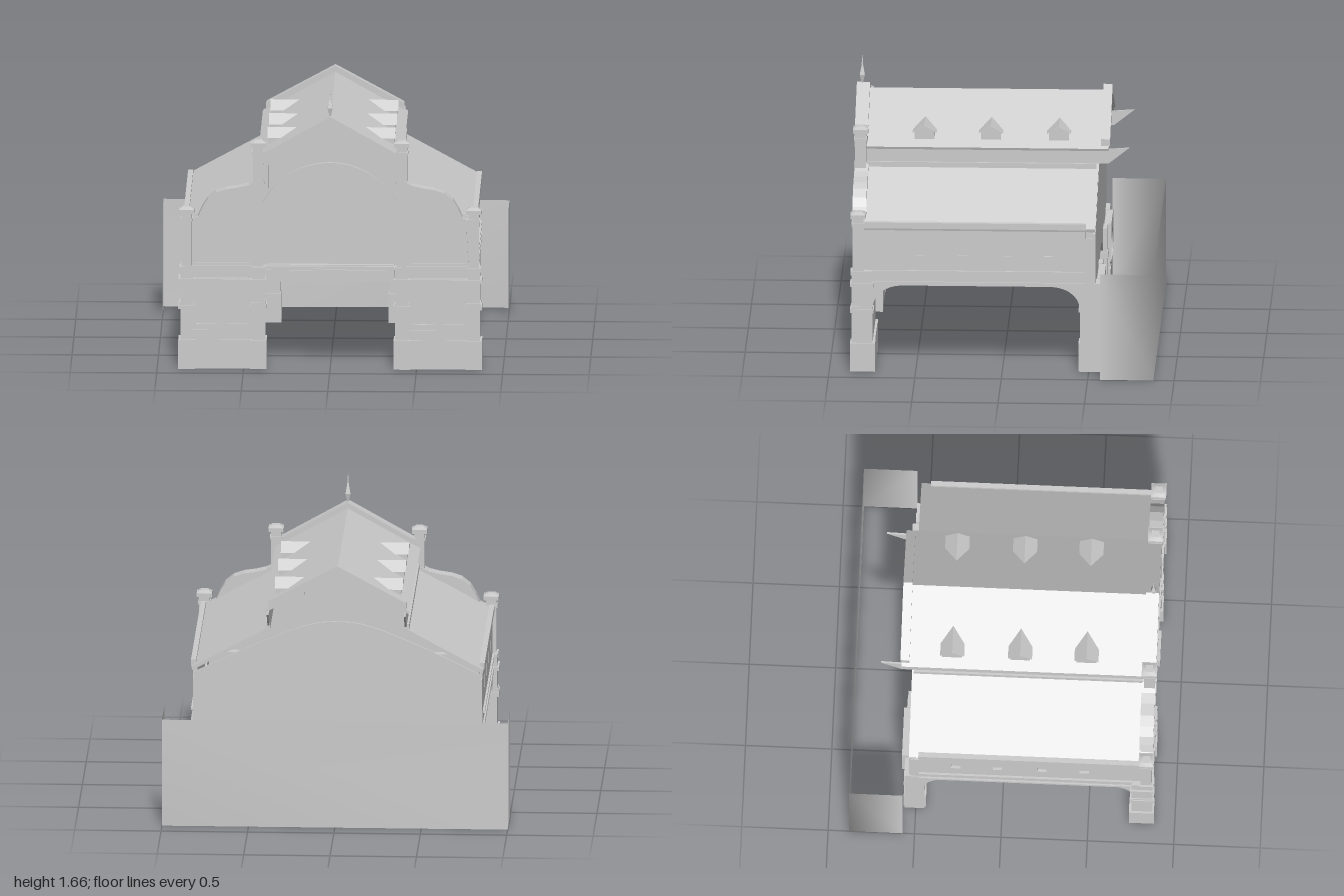
import * as THREE from 'three';

export function createModel() {
  const root = new THREE.Group();
  const mat = new THREE.MeshStandardMaterial({ color: 0xcccccc, side: THREE.DoubleSide });

  const add = (name, geo, x = 0, y = 0, z = 0) => {
    const m = new THREE.Mesh(geo, mat);
    m.name = name;
    m.position.set(x, y, z);
    root.add(m);
    return m;
  };
  // box given by its limits
  const box = (name, x0, x1, y0, y1, z0, z1) =>
    add(name, new THREE.BoxGeometry(Math.abs(x1 - x0), y1 - y0, z1 - z0), (x0 + x1) / 2, (y0 + y1) / 2, (z0 + z1) / 2);
  const poly = (pts) => new THREE.Shape(pts.map(([x, y]) => new THREE.Vector2(x, y)));
  const extrude = (shape, depth) => new THREE.ExtrudeGeometry(shape, { depth, bevelEnabled: false, curveSegments: 16 });
  // upright plate facing z, between z0 and z1
  const plate = (name, shape, z0, z1) => add(name, extrude(shape, z1 - z0), 0, 0, z0);
  // upright plate drawn in (z, y), between x0 < x1
  const sidePlate = (name, shape, x0, x1) => {
    const m = add(name, extrude(shape, x1 - x0), x1, 0, 0);
    m.rotation.y = -Math.PI / 2;
    return m;
  };
  // round-headed outline
  const arched = (Type, cx, r, y0, spring) => {
    const p = new Type();
    p.moveTo(cx - r, y0);
    p.lineTo(cx + r, y0);
    p.lineTo(cx + r, spring);
    p.absarc(cx, spring, r, 0, Math.PI, false);
    p.lineTo(cx - r, y0);
    return p;
  };
  const mirror = (pts, s) => pts.map(([x, y]) => [x * s, y]);

  // ---------- front facade ----------
  const wing = [[0.8, 0.875], [0.765, 0.895], [0.74, 0.95], [0.71, 1.0], [0.66, 1.04], [0.6, 1.06], [0.53, 1.07], [0.47, 1.085], [0.39, 1.13]];
  const half = [[0.84, 0.58], [0.84, 0.87], ...wing, [0.38, 1.25]];
  const front = poly([...half, [0, 1.47], ...mirror(half, -1).reverse()]);
  front.holes.push(arched(THREE.Path, 0, 0.4, 0.605, 0.765));
  plate('facadeWall', front, 0.8, 0.835);
  plate('archInfill', arched(THREE.Shape, 0, 0.41, 0.6, 0.765), 0.8, 0.812);
  for (const [r0, r1, z] of [[0.4, 0.44, 0.85], [0.418, 0.44, 0.857]]) {
    const ring = arched(THREE.Shape, 0, r1, 0.605, 0.775);
    ring.holes.push(arched(THREE.Path, 0, r0, 0.605, 0.765));
    plate('archMoulding', ring, 0.83, z);
  }
  box('lintel', -0.37, 0.37, 0.51, 0.61, 0.79, 0.845);
  box('lintelCourse', -0.84, 0.84, 0.59, 0.605, 0.8, 0.868);
  box('centrePanel', -0.095, 0.095, 0.51, 0.592, 0.84, 0.882);

  for (const s of [1, -1]) {
    box('lintelMoulding', s * 0.09, s * 0.37, 0.53, 0.58, 0.84, 0.857);
    // sloped coping and inner moulding of the gable
    plate('gableCoping', poly(mirror([[0, 1.49], [0.39, 1.27], [0.39, 1.21], [0, 1.43]], s)), 0.795, 0.872);
    plate('gableMoulding', poly(mirror([[0, 1.43], [0.37, 1.22], [0.37, 1.05], [0.355, 1.06], [0.355, 1.2], [0, 1.4]], s)), 0.83, 0.855);
    // curved coping and raised border of the wing
    const low = wing.map(([x, y]) => [x - 0.012, y - 0.04]);
    plate('wingCoping', poly(mirror([...wing, ...[...low].reverse()], s)), 0.79, 0.87);
    const border = poly(mirror([[0.8, 0.605], ...low, [0.45, 0.605]], s));
    border.holes.push(new THREE.Path(mirror([[0.785, 0.622], [0.785, 0.812], [0.73, 0.815], [0.70, 0.88], [0.65, 0.945],
      [0.58, 0.99], [0.465, 1.01], [0.465, 0.622]], s).map(([x, y]) => new THREE.Vector2(x, y))));
    plate('wingBorder', border, 0.83, 0.85);

    // lower block with twin round-headed blind windows
    box('lowerBlock', s * 0.375, s * 0.855, 0, 0.6, 0.75, 0.835);
    box('plinth', s * 0.45, s * 0.81, 0, 0.17, 0.737, 0.868);
    box('sill', s * 0.46, s * 0.8, 0.17, 0.225, 0.83, 0.857);
    const panel = poly(mirror([[0.45, 0.17], [0.81, 0.17], [0.81, 0.53], [0.45, 0.53]], s));
    for (const x of [0.54, 0.715]) panel.holes.push(arched(THREE.Path, s * x, 0.06, 0.26, 0.412));
    plate('windowPanel', panel, 0.83, 0.85);
    box('lowerCourse', s * 0.37, s * 0.86, 0.51, 0.527, 0.745, 0.866);

    // facade piers with bands and caps
    for (const [x, top] of [[0.83, 0.95], [0.415, 1.345]]) {
      const slab = (name, w, y0, y1, z0, z1) => box(name, s * x - w, s * x + w, y0, y1, z0, z1);
      slab('pierBase', 0.048, 0, 0.17, 0.735, 0.88);
      slab('pierShaft', 0.036, 0.17, 0.6, 0.75, 0.87);
      slab('pierBand', 0.048, 0.352, 0.375, 0.742, 0.88);
      slab('pierBand', 0.042, 0.375, 0.39, 0.748, 0.875);
      slab('pierBand', 0.048, 0.508, 0.53, 0.742, 0.88);
      slab('pierBand', 0.042, 0.575, 0.6, 0.79, 0.878);
      slab('upperPier', 0.03, 0.6, top - 0.01, 0.803, 0.866);
      slab('pierNeck', 0.036, top - 0.08, top - 0.065, 0.797, 0.872);
      slab('pierCap', 0.044, top - 0.035, top - 0.012, 0.79, 0.878);
      const cap = new THREE.CylinderGeometry(0.03, 0.058, 0.014, 4).rotateY(Math.PI / 4);
      add('pierCapTop', cap, s * x, top - 0.005, 0.834);
    }
  }

  // four-sided finial
  const spire = [[0.004, 1.48], [0.01, 1.5], [0.021, 1.535], [0.007, 1.59], [0.0005, 1.66]].map(([x, y]) => new THREE.Vector2(x, y));
  add('finial', new THREE.LatheGeometry(spire, 4, Math.PI / 4).toNonIndexed(), 0, 0, 0.84).geometry.computeVertexNormals();

  // ---------- sides and roofs ----------
  for (const s of [1, -1]) {
    const sp = (name, shape, a, b) => sidePlate(name, shape, Math.min(s * a, s * b), Math.max(s * a, s * b));
    // arcade with a wide flat opening
    const arcade = new THREE.Shape();
    arcade.moveTo(0.8, 0);
    arcade.lineTo(0.8, 0.6);
    arcade.lineTo(-0.48, 0.6);
    arcade.lineTo(-0.48, 0.53);
    arcade.lineTo(-0.565, 0.53);
    arcade.lineTo(-0.565, 0);
    arcade.lineTo(-0.45, 0);
    arcade.lineTo(-0.45, 0.38);
    arcade.bezierCurveTo(-0.44, 0.46, -0.37, 0.51, -0.27, 0.51);
    arcade.lineTo(0.57, 0.51);
    arcade.bezierCurveTo(0.67, 0.51, 0.74, 0.46, 0.75, 0.38);
    arcade.lineTo(0.75, 0);
    sp('sideArcade', arcade, 0.8, 0.84);

    // side wall with small round-headed recesses
    const wall = poly([[0.8, 0.59], [0.8, 0.86], [-0.48, 0.86], [-0.48, 0.59]]);
    for (const z of [0.475, 0.23, -0.027, -0.268]) wall.holes.push(arched(THREE.Path, z, 0.027, 0.69, 0.748));
    sp('sideWall', wall, 0.82, 0.838);
    box('sideWallLining', s * 0.81, s * 0.822, 0.55, 0.855, -0.53, 0.8);
    box('sideWallEnd', s * 0.81, s * 0.836, 0.53, 0.8, -0.53, -0.47);
    box('sideCourse', s * 0.8, s * 0.85, 0.515, 0.535, -0.48, 0.8);
    box('sideCourse', s * 0.8, s * 0.85, 0.587, 0.602, -0.48, 0.8);
    box('gutter', s * 0.82, s * 0.85, 0.855, 0.89, -0.485, 0.8);

    plate('aisleRoof', poly(mirror([[0.395, 1.105], [0.845, 0.86], [0.84, 0.842], [0.395, 1.085]], s)), -0.54, 0.8);
    // upper wall, with its pointed overhang at the back
    sp('upperWall', poly([[0.8, 1.08], [-0.53, 1.08], [-0.53, 1.13], [-0.6, 1.13], [-0.72, 1.225], [-0.55, 1.212], [0.8, 1.22]]), 0.392, 0.402);
    box('upperWallCourse', s * 0.395, s * 0.415, 1.1, 1.13, -0.53, 0.8);
    plate('mainRoof', poly(mirror([[0, 1.457], [0.42, 1.222], [0.415, 1.208], [0, 1.44]], s)), -0.6, 0.8);
    plate('backGableBoard', poly(mirror([[0, 1.493], [0.4, 1.275], [0.4, 1.235], [0, 1.44]], s)), -0.608, -0.555);

    // dormers
    for (const z of [0.467, 0.083, -0.31]) {
      const dormer = new THREE.Group();
      dormer.name = 'dormer';
      dormer.position.z = z;
      const body = new THREE.Mesh(extrude(poly([[-0.058, 1.24], [0.058, 1.24], [0.058, 1.3], [0, 1.335], [-0.058, 1.3]]), 0.16), mat);
      body.rotation.y = -Math.PI / 2;
      body.position.x = s > 0 ? 0.362 : -0.202;
      dormer.add(body);
      for (const t of [1, -1]) {
        const g = new THREE.BufferGeometry().setAttribute('position', new THREE.Float32BufferAttribute([
          s * 0.37, 1.345, 0, s * 0.195, 1.345, 0, s * 0.29, 1.293, t * 0.07, s * 0.37, 1.293, t * 0.07], 3));
        g.setIndex(s * t > 0 ? [0, 1, 2, 0, 2, 3] : [0, 2, 1, 0, 3, 2]);
        g.computeVertexNormals();
        dormer.add(new THREE.Mesh(g, mat));
      }
      root.add(dormer);
    }

    // back piers and low side arches
    for (const x of [0.365, 0.775]) {
      box('backPierBase', s * x - 0.055, s * x + 0.055, 0, 0.17, -0.57, -0.44);
      box('backPier', s * x - 0.05, s * x + 0.05, 0.17, 0.53, -0.565, -0.45);
      box('backPierBand', s * x - 0.056, s * x + 0.056, 0.355, 0.385, -0.57, -0.442);
    }
    const low = poly(mirror([[0.42, 0.3], [0.42, 0.53], [0.715, 0.53], [0.715, 0.3]], s));
    low.holes.push(arched(THREE.Path, s * 0.5675, 0.14, 0.301, 0.325));
    plate('backSideArch', low, -0.585, -0.545);
  }

  // ---------- back wall with a curved top and a wide arch ----------
  const back = new THREE.Shape();
  back.moveTo(-0.83, 0.5);
  back.lineTo(-0.83, 0.83);
  back.splineThru([[-0.52, 0.98], [-0.2, 1.11], [0, 1.14], [0.2, 1.11], [0.52, 0.98], [0.83, 0.83]].map(([x, y]) => new THREE.Vector2(x, y)));
  back.lineTo(0.83, 0.5);
  back.lineTo(0.42, 0.5);
  back.lineTo(0.42, 0.38);
  back.lineTo(0.31, 0.4);
  back.bezierCurveTo(0.2, 0.49, 0.1, 0.52, 0, 0.52);
  back.bezierCurveTo(-0.1, 0.52, -0.2, 0.49, -0.31, 0.4);
  back.lineTo(-0.42, 0.38);
  back.lineTo(-0.42, 0.5);
  plate('backWall', back, -0.54, -0.525);

  // thin open screen standing behind, shaded smoothly round its corners
  const line = [[1, -0.57], [1, -0.88], [-1, -0.88], [-1, -0.57]];
  const screen = new THREE.BufferGeometry().setAttribute('position',
    new THREE.Float32BufferAttribute(line.flatMap(([x, z]) => [x, 0, z, x, 0.635, z]), 3));
  screen.setIndex([0, 1, 2].flatMap((i) => [2 * i, 2 * i + 2, 2 * i + 1, 2 * i + 1, 2 * i + 2, 2 * i + 3]));
  screen.computeVertexNormals();
  add('backScreen', screen);

  return root;
}
